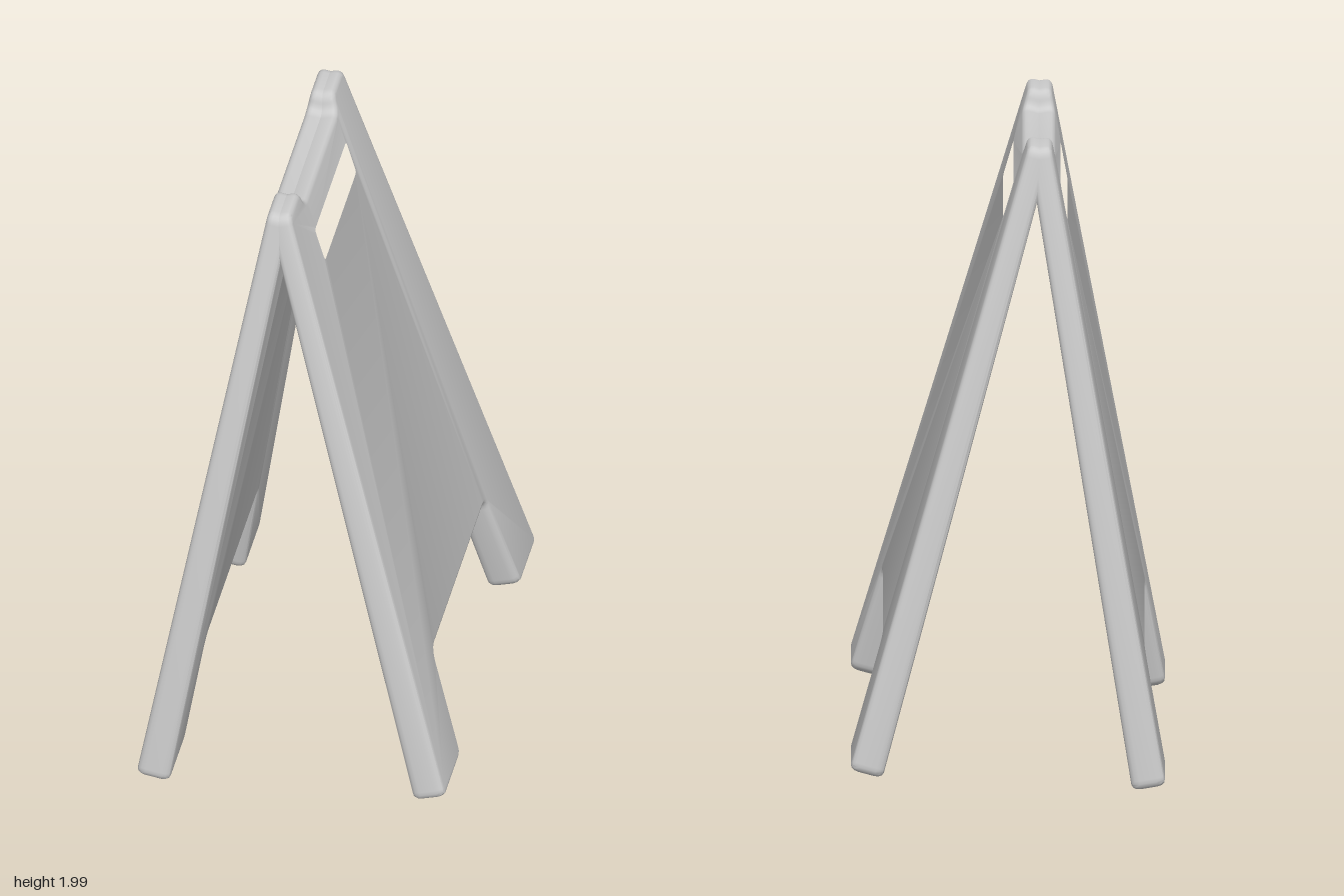
import * as THREE from 'three';
import { toCreasedNormals } from 'three/addons/utils/BufferGeometryUtils.js';

const LENGTH = 2.012, TOP_THICK = 0.072, BOTTOM_THICK = 0.106, BEVEL = 0.018;

// Closed outline through [x, y, cornerRadius] points with rounded corners
function roundedOutline(path, points) {
  const n = points.length;
  points.forEach(([x, y, r], i) => {
    const p = new THREE.Vector2(x, y);
    const toward = ([qx, qy]) => {
      const d = new THREE.Vector2(qx, qy).sub(p);
      return d.setLength(r).add(p);
    };
    const a = toward(points[(i + n - 1) % n]);
    const b = toward(points[(i + 1) % n]);
    if (i === 0) path.moveTo(a.x, a.y);
    else path.lineTo(a.x, a.y);
    path.quadraticCurveTo(x, y, b.x, b.y);
  });
  path.closePath();
  return path;
}

// One board: handle slot, top notch and two feet, hanging down from y = 0
function boardGeometry() {
  const half = [
    [0.25, -0.06, 0.028],
    [0.265, 0, 0.028],
    [0.412, 0, 0.032],
    [0.712, -LENGTH, 0.032],
    [0.458, -LENGTH, 0.032],
    [0.405, -1.652, 0.035],
  ];
  const mirrored = half.map(([x, y, r]) => [-x, y, r]).reverse();
  const shape = roundedOutline(new THREE.Shape(), [...half, ...mirrored]);
  shape.holes.push(roundedOutline(new THREE.Path(), [
    [-0.26, -0.15, 0.035], [0.26, -0.15, 0.035],
    [0.26, -0.303, 0.035], [-0.26, -0.303, 0.035],
  ]));

  const geometry = new THREE.ExtrudeGeometry(shape, {
    depth: TOP_THICK - 2 * BEVEL, curveSegments: 5,
    bevelThickness: BEVEL, bevelSize: BEVEL, bevelOffset: -BEVEL, bevelSegments: 3,
  });
  geometry.translate(0, 0, BEVEL - TOP_THICK / 2);

  // The board grows thicker toward its feet
  const pos = geometry.attributes.position;
  for (let i = 0; i < pos.count; i++) {
    const t = -pos.getY(i) / LENGTH;
    pos.setZ(i, pos.getZ(i) * THREE.MathUtils.lerp(1, BOTTOM_THICK / TOP_THICK, t));
  }
  geometry.rotateY(Math.PI / 2);
  return toCreasedNormals(geometry, 0.6);
}

export function createModel() {
  const model = new THREE.Group();
  model.name = 'foldingFloorSign';
  const material = new THREE.MeshStandardMaterial({ color: 0xcccccc });
  const geometry = boardGeometry();

  // Two identical boards joined along their top edge
  for (const [name, tilt] of [['leftBoard', 0.272], ['rightBoard', -0.17]]) {
    const board = new THREE.Mesh(geometry, material);
    board.name = name;
    board.position.set(-0.1, 1.995, 0);
    board.rotation.z = tilt;
    model.add(board);
  }
  return model;
}
